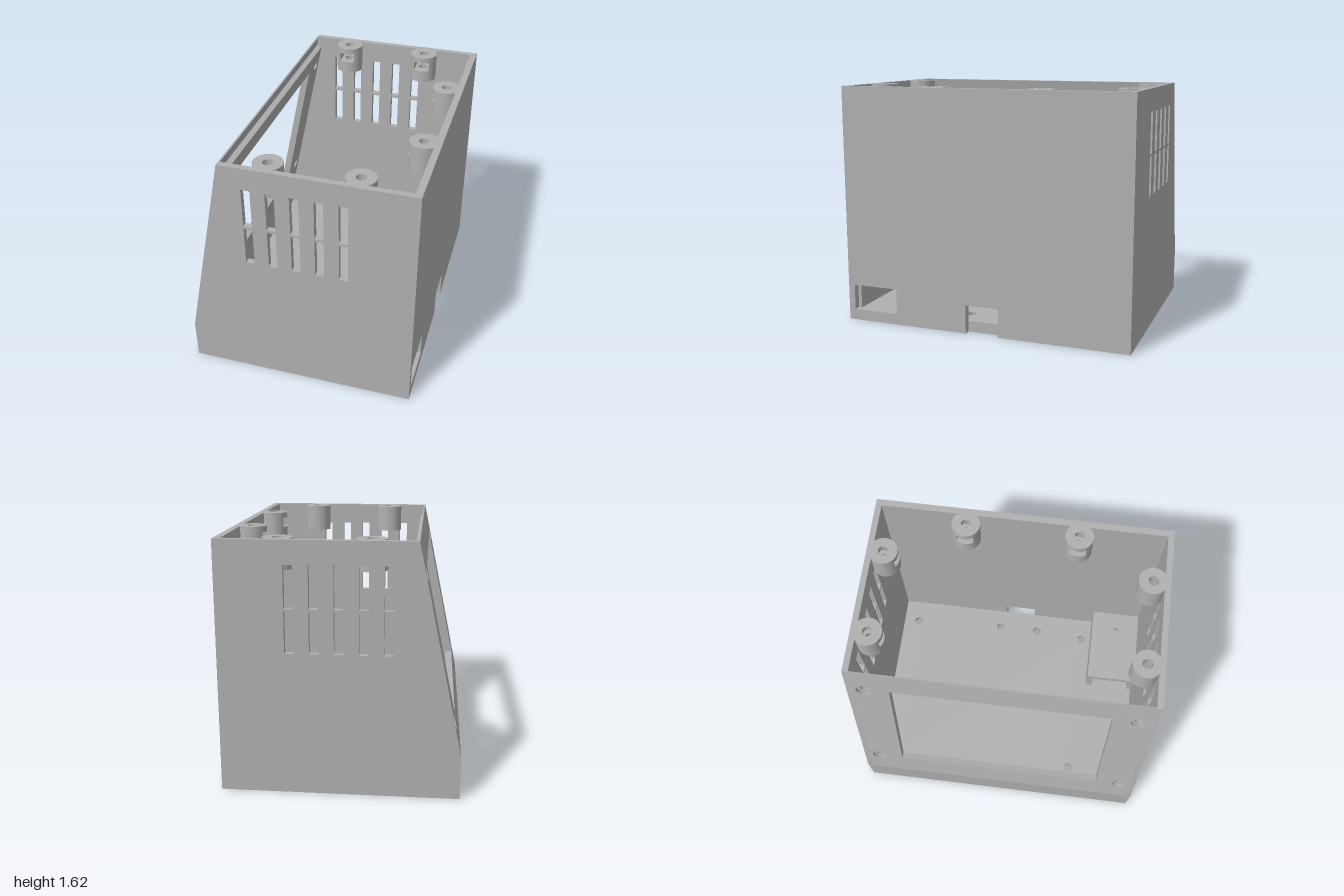
import * as THREE from 'three';
import { toCreasedNormals } from 'three/addons/utils/BufferGeometryUtils.js';

const H = 1.62, X = 0.76, Z = 1, END = 0.04, SIDE = 0.045, FLOOR = 0.075;

export function createModel() {
  const grey = new THREE.MeshStandardMaterial({ color: 0xb0b0b0 });
  grey.name = 'grey plastic';
  const model = new THREE.Group();
  model.name = 'enclosure';

  // Shape helpers
  const poly = (pts) => new THREE.Shape(pts.map(([x, y]) => new THREE.Vector2(x, y)));
  const rect = (x0, y0, x1, y1) => poly([[x0, y0], [x1, y0], [x1, y1], [x0, y1]]);
  const disc = (x, y, r) => new THREE.Shape().absarc(x, y, r, 0, Math.PI * 2, false);
  const hexagon = (x, y, r) => poly([0, 1, 2, 3, 4, 5].map((i) =>
    [x + r * Math.cos(i * Math.PI / 3), y + r * Math.sin(i * Math.PI / 3)]));
  const extrude = (shape, depth, holes = []) => {
    shape.holes.push(...holes);
    return new THREE.ExtrudeGeometry(shape, { depth, bevelEnabled: false, curveSegments: 28 });
  };
  const add = (name, geometry, parent = model) => {
    const mesh = new THREE.Mesh(toCreasedNormals(geometry, 0.5), grey);
    mesh.name = name;
    parent.add(mesh);
    return mesh;
  };
  // Horizontal slab: shape is (x, z), spanning y0 to y1
  const slab = (shape, y0, y1, holes) =>
    extrude(shape, y1 - y0, holes).rotateX(Math.PI / 2).translate(0, y1, 0);

  // End walls with ventilation slots
  for (const [name, z] of [['frontWall', Z - END], ['backWall', -Z]]) {
    const slots = [];
    for (let i = -2; i <= 2; i++) {
      const x = i * 0.153;
      slots.push(rect(x - 0.029, 0.92, x + 0.029, 1.182), rect(x - 0.029, 1.2, x + 0.029, 1.47));
    }
    const outline = poly([[-X, 0], [X, 0], [X, H], [-0.48, H], [-X, 0.28]]);
    add(name, extrude(outline, END, slots).translate(0, 0, z));
  }

  // Right-hand side wall with a bottom notch and a socket opening (shape is (-z, y))
  const e = Z - END;
  const side = poly([[-e, 0], [-0.115, 0], [-0.115, 0.195], [0.115, 0.195], [0.115, 0], [e, 0], [e, H], [-e, H]]);
  add('sideWall', extrude(side, SIDE, [rect(-0.955, FLOOR, -0.63, 0.25)])
    .rotateY(Math.PI / 2).translate(X - SIDE, 0, 0));

  // Floor: foot recesses, nut pockets, then screw holes
  const screws = [[0.545, -0.84], [0.57, -0.155], [0.57, 0.15], [0.545, 0.525], [-0.55, 0.525], [-0.55, -0.84]];
  const feet = [[0.61, 0.71], [0.61, -0.71], [-0.61, 0.71], [-0.61, -0.71]];
  const base = () => rect(-0.715, -e, X - SIDE, e);
  const pockets = () => screws.map(([x, z]) => hexagon(x, z, 0.055));
  add('floorBottom', slab(base(), 0, 0.02, [...pockets(), ...feet.map(([x, z]) => disc(x, z, 0.057))]));
  add('floorMiddle', slab(base(), 0.02, 0.04, pockets()));
  add('floorTop', slab(base(), 0.04, FLOOR, screws.map(([x, z]) => disc(x, z, 0.033))));

  // Low upright wall below the sloping panel
  add('lowerWall', extrude(rect(-X, 0, -0.71, 0.28), 2 * e).translate(0, 0, -e));

  // Sloping panel with display window, countersunk holes and a thin top lip
  const length = Math.hypot(0.28, H - 0.28);
  const along = new THREE.Vector3(0.28 / length, (H - 0.28) / length, 0);
  const across = new THREE.Vector3(0, 0, 1);
  const outward = new THREE.Vector3().crossVectors(across, along);
  const panel = new THREE.Group();
  panel.name = 'slopingPanel';
  panel.applyMatrix4(new THREE.Matrix4().makeBasis(across, along, outward).setPosition(-X, 0.28, 0));
  model.add(panel);
  const ledge = 1.297;
  const openings = (r) => [rect(-0.72, 0.194, 0.717, 1.175),
    ...[-0.885, 0.885].flatMap((z) => [disc(z, 0.205, r), disc(z, 1.16, r)])];
  add('panelOuter', extrude(rect(-e, 0, e, ledge), 0.02, openings(0.053)).translate(0, 0, -0.02), panel);
  add('panelInner', extrude(rect(-e, 0, e, ledge), 0.029, openings(0.032)).translate(0, 0, -0.049), panel);
  add('panelLip', extrude(rect(-e, ledge, e, length), 0.01).translate(0, 0, -0.01), panel);

  // Lid screw bosses; some have a nut slot that opens inwards
  const R = 0.095, W = 0.055, y0 = 1.43;
  function boss(name, x, z, turn) {
    const group = new THREE.Group();
    group.name = name;
    group.position.set(x, 0, z);
    model.add(group);
    const ring = (a, b) => slab(disc(0, 0, R), a, b, [disc(0, 0, 0.033)]);
    if (turn === null) {
      add('bossPost', ring(y0, H), group);
      return;
    }
    group.rotation.y = turn;
    const t = Math.asin(W / R);
    const fork = new THREE.Shape().absarc(0, 0, R, Math.PI / 2 + t, Math.PI * 2.5 - t, false);
    fork.lineTo(W, -W).lineTo(-W, -W);
    add('bossBottom', ring(y0, 1.515), group);
    add('bossNutSlot', slab(fork, 1.515, 1.58), group);
    add('bossTop', ring(1.58, H), group);
  }
  for (const x of [-0.195, 0.38]) {
    boss('backBoss', x, -0.89, 0);
    boss('frontBoss', x, 0.885, null);
  }
  for (const z of [-0.38, 0.38]) boss('sideBoss', 0.645, z, -Math.PI / 2);

  // Socket tunnel behind the side opening
  const tunnel = (x0, z0, x1, z1, a, b, holes) => slab(rect(x0, z0, x1, z1), a, b, holes);
  const xe = X - SIDE;
  add('tunnelInnerLeg', tunnel(0.155, 0.595, xe, 0.645, FLOOR, 0.235));
  add('tunnelOuterLeg', tunnel(0.155, 0.93, xe, e, FLOOR, 0.235));
  add('tunnelRoof', tunnel(0.155, 0.595, xe, e, 0.235, 0.28, [disc(0.57, 0.79, 0.024)]));

  return model;
}
